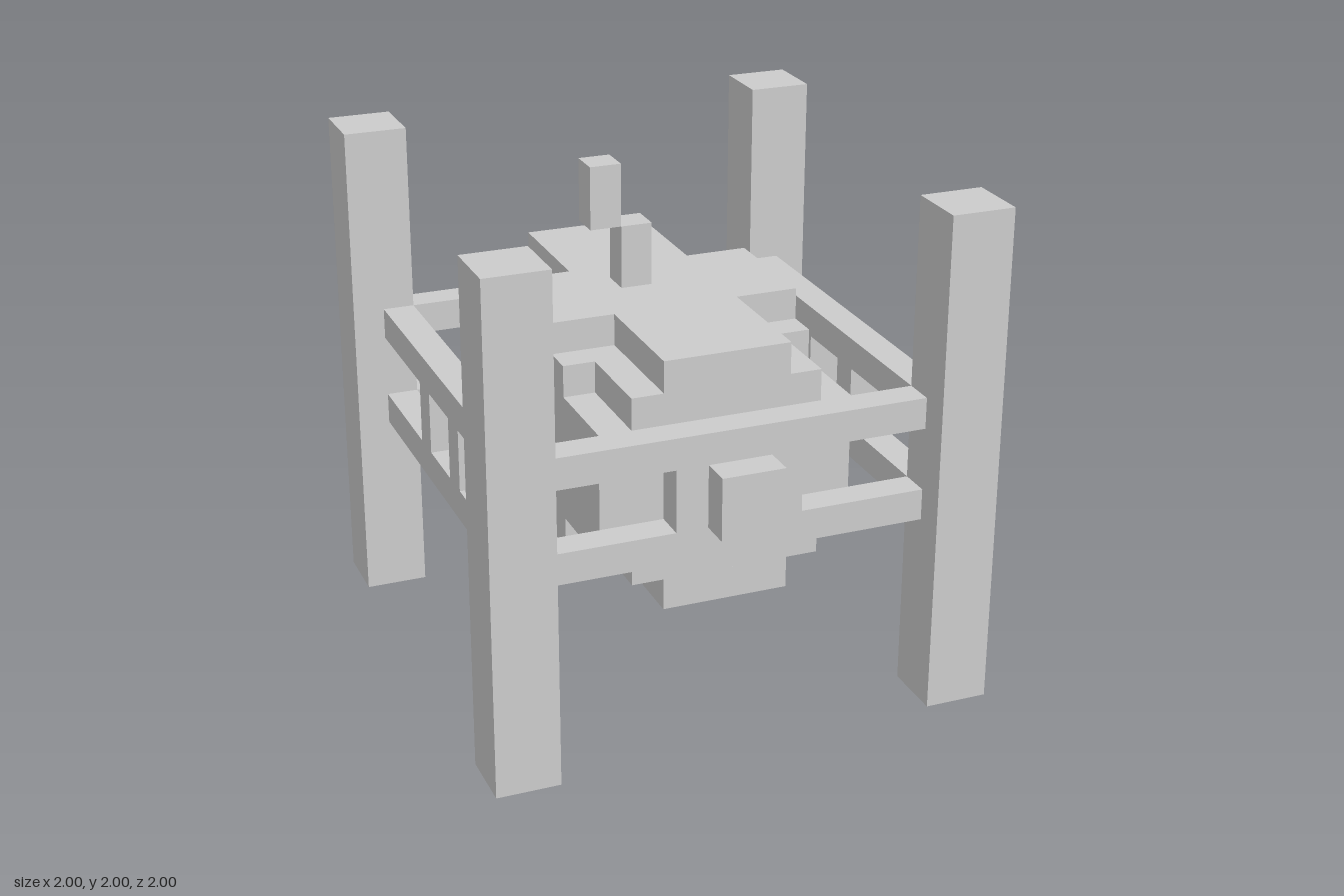
import * as THREE from 'three';

const material = new THREE.MeshStandardMaterial({ color: 0xcccccc, flatShading: true });

function add(parent, name, geometry, x = 0, y = 0, z = 0) {
  const mesh = new THREE.Mesh(geometry, material);
  mesh.name = name;
  mesh.position.set(x, y, z);
  parent.add(mesh);
  return mesh;
}

// Shape from one quadrant of corners, listed anticlockwise from +x to +y, mirrored both ways
function symmetricShape(quadrant) {
  const back = [...quadrant].reverse();
  const points = [
    ...quadrant,
    ...back.map(([x, y]) => [-x, y]),
    ...quadrant.map(([x, y]) => [-x, -y]),
    ...back.map(([x, y]) => [x, -y]),
  ];
  return new THREE.Shape(points.map(([x, y]) => new THREE.Vector2(x, y)));
}

const extrude = (shape, depth) =>
  new THREE.ExtrudeGeometry(shape, { depth, bevelEnabled: false });

// Two rails joined by a central panel, standing in the xy plane; optional square window
function railGeometry(hasWindow) {
  const shape = symmetricShape([[0.25, 0.125], [0.75, 0.125], [0.75, 0.25]]);
  if (hasWindow) {
    const s = 0.125;
    shape.holes.push(new THREE.Path([[-s, -s], [-s, s], [s, s], [s, -s]]
      .map(([x, y]) => new THREE.Vector2(x, y))));
  }
  return extrude(shape, 0.125);
}

// Horizontal layer of the body with square notches cut in its four corners
function notchedLayer(cut) {
  const shape = symmetricShape([[0.5, cut], [cut, cut], [cut, 0.75]]);
  return extrude(shape, 0.125).rotateX(-Math.PI / 2);
}

export function createModel() {
  const model = new THREE.Group();
  model.name = 'postFramedBlock';

  // Corner posts
  const postGeometry = new THREE.BoxGeometry(0.25, 2, 0.25);
  for (const x of [-0.875, 0.875])
    for (const z of [-0.875, 0.875]) add(model, 'cornerPost', postGeometry, x, 1, z);

  // Stepped body
  const body = new THREE.Group();
  body.name = 'body';
  model.add(body);
  add(body, 'bodyCore', new THREE.BoxGeometry(1, 0.5, 1.5), 0, 1, 0);
  const innerStep = notchedLayer(0.375);
  const outerStep = notchedLayer(0.25);
  add(body, 'upperStep', innerStep, 0, 1.25, 0);
  add(body, 'topStep', outerStep, 0, 1.375, 0);
  add(body, 'lowerStep', innerStep, 0, 0.625, 0);
  add(body, 'bottomStep', outerStep, 0, 0.5, 0);

  // Rail frames: solid panel with a boss at front and back, window at the sides
  const solidRail = railGeometry(false);
  const windowRail = railGeometry(true);
  const bossGeometry = new THREE.BoxGeometry(0.25, 0.25, 0.125);
  for (let i = 0; i < 4; i++) {
    const frame = new THREE.Group();
    frame.name = ['frontFrame', 'leftFrame', 'backFrame', 'rightFrame'][i];
    frame.rotation.y = i * Math.PI / 2;
    model.add(frame);
    const isSide = i % 2 === 1;
    add(frame, 'rails', isSide ? windowRail : solidRail, 0, 1, 0.75);
    if (!isSide) add(frame, 'boss', bossGeometry, 0, 1, 0.9375);
  }

  // Offset stack on the roof
  const stackGeometry = new THREE.BoxGeometry(0.125, 0.25, 0.125);
  add(model, 'lowerStack', stackGeometry, -0.0625, 1.625, -0.0625);
  add(model, 'upperStack', stackGeometry, -0.1875, 1.875, -0.0625);

  return model;
}
